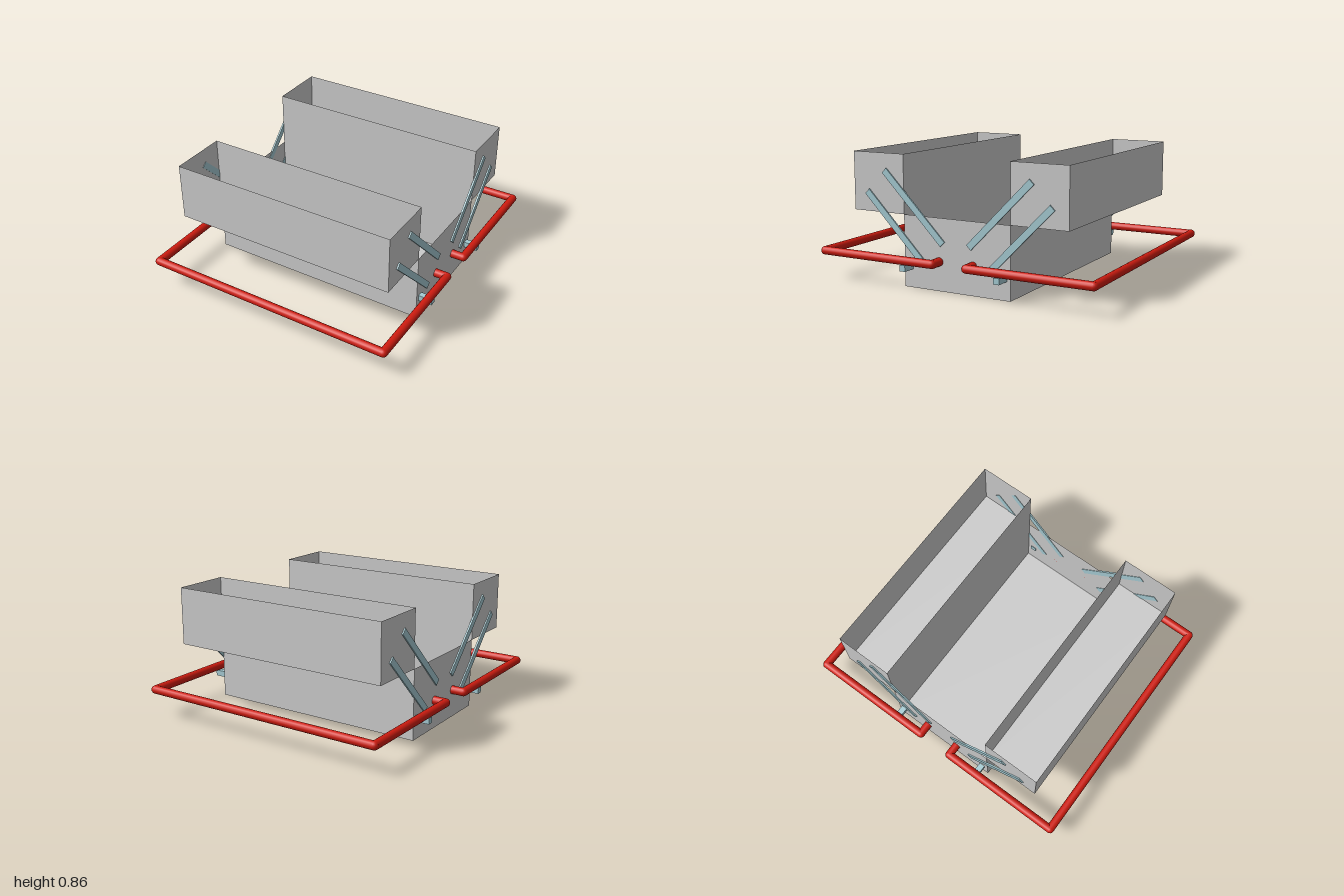
import * as THREE from 'three';

const steel = new THREE.MeshStandardMaterial({ color: 0xcccccc, side: THREE.DoubleSide });
const linkage = new THREE.MeshStandardMaterial({ color: 0xa5cbd3 });
const red = new THREE.MeshStandardMaterial({ color: 0xd01c10 });

const WALL = 0.772; // half length of the boxes

function add(parent, name, geometry, material, x = 0, y = 0, z = 0) {
  const mesh = new THREE.Mesh(geometry, material);
  mesh.name = name;
  mesh.position.set(x, y, z);
  parent.add(mesh);
  return mesh;
}

// Sheet-metal box without its top face
function openBox(w, h, d) {
  const g = new THREE.BoxGeometry(w, h, d);
  const index = Array.from(g.index.array);
  index.splice(12, 6); // the +y face
  g.setIndex(index);
  g.clearGroups();
  return g;
}

// Flat bar between two points (z, y) on an end wall
function linkArm(parent, name, side, [z0, y0], [z1, y1]) {
  const length = Math.hypot(z1 - z0, y1 - y0);
  const arm = add(parent, name, new THREE.BoxGeometry(0.012, 0.044, length), linkage,
    side * (WALL + 0.003), (y0 + y1) / 2, (z0 + z1) / 2);
  arm.rotation.x = -Math.atan2(y1 - y0, z1 - z0);
}

// Round bar along a list of points, with ball joints at the bends
function roundBar(parent, name, points, radius) {
  const bar = new THREE.Group();
  bar.name = name;
  const up = new THREE.Vector3(0, 1, 0);
  for (let i = 0; i < points.length - 1; i++) {
    const dir = points[i + 1].clone().sub(points[i]);
    const mid = points[i].clone().addScaledVector(dir, 0.5);
    const rod = add(bar, 'handleRod', new THREE.CylinderGeometry(radius, radius, dir.length(), 16),
      red, mid.x, mid.y, mid.z);
    rod.quaternion.setFromUnitVectors(up, dir.normalize());
    if (i > 0) {
      const p = points[i];
      add(bar, 'handleCorner', new THREE.SphereGeometry(radius, 16, 10), red, p.x, p.y, p.z);
    }
  }
  parent.add(bar);
}

export function createModel() {
  const model = new THREE.Group();
  model.name = 'cantileverToolbox';

  add(model, 'baseBox', openBox(WALL * 2, 0.47, 0.774), steel, 0, 0.235, 0);

  for (const s of [1, -1]) {
    const half = new THREE.Group();
    half.name = s > 0 ? 'frontHalf' : 'backHalf';
    model.add(half);

    // Raised tray
    add(half, 'tray', openBox(WALL * 2, 0.385, 0.389), steel, 0, 0.6625, s * 0.5815);

    for (const side of [1, -1]) {
      // Parallel linkage and handle rest on each end
      linkArm(half, 'upperArm', side, [s * 0.096, 0.304], [s * 0.533, 0.743]);
      linkArm(half, 'lowerArm', side, [s * 0.24, 0.165], [s * 0.67, 0.6]);
      add(half, 'handleRest', new THREE.BoxGeometry(0.1, 0.04, 0.04), linkage,
        side * 0.817, 0.141, s * 0.342);
    }

    // Folded-down carrying handle
    const path = [[-WALL, 0.124], [-0.856, 0.124], [-0.856, 0.972],
      [0.856, 0.972], [0.856, 0.124], [WALL, 0.124]];
    roundBar(half, 'handle', path.map(([x, z]) => new THREE.Vector3(x, 0.19, s * z)), 0.028);
  }
  return model;
}
